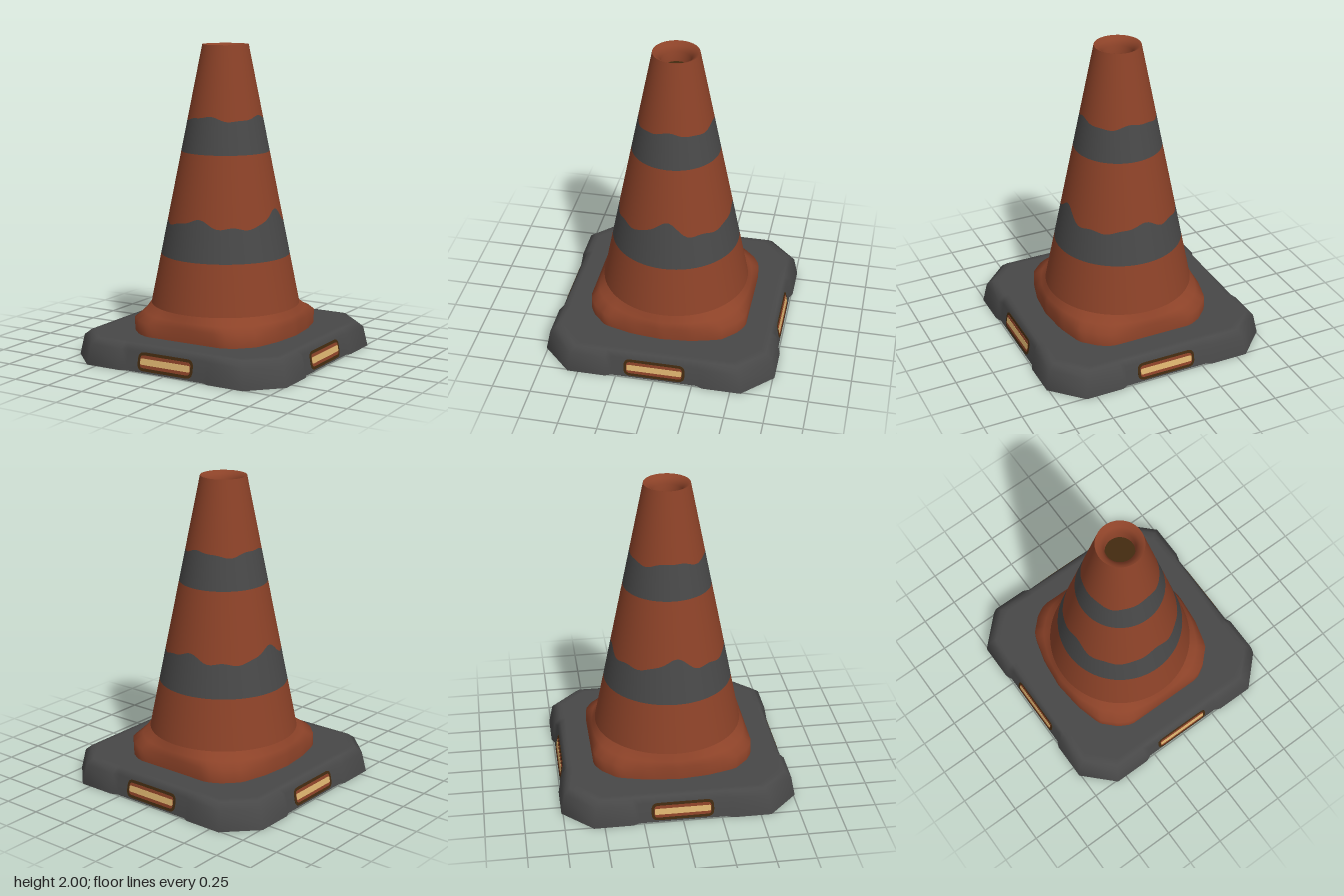
import * as THREE from 'three';

const mat = (name, color, side = THREE.FrontSide) => {
  const m = new THREE.MeshStandardMaterial({ color, side });
  m.name = name;
  return m;
};

// Skin closed rings of points, listed from bottom to top (or outside to inside)
function loft(rings, capEnd = false) {
  const n = rings[0].length, pos = rings.flat(2), idx = [];
  for (let i = 0; i < rings.length - 1; i++) {
    for (let j = 0; j < n; j++) {
      const k = (j + 1) % n, a = i * n + j, b = i * n + k;
      idx.push(a, b, a + n, b, b + n, a + n);
    }
  }
  if (capEnd) {
    const o = (rings.length - 1) * n;
    pos.push(0, rings[rings.length - 1][0][1], 0);
    for (let j = 0; j < n; j++) idx.push(o + j, o + (j + 1) % n, rings.length * n);
  }
  const g = new THREE.BufferGeometry();
  g.setAttribute('position', new THREE.Float32BufferAttribute(pos, 3));
  g.setIndex(idx);
  g.computeVertexNormals();
  return g;
}

const SEG = 96;
const angles = Array.from({ length: SEG }, (_, i) => (i / SEG) * Math.PI * 2);
const coneRadius = (y) => 0.148 + 0.2 * (2 - y);

// Ring whose height and radius may vary with the angle (0 = front, 90 degrees = +x)
const ring = (yOf, rOf) => angles.map((t) => {
  const y = yOf(t), r = rOf(t, y);
  return [r * Math.sin(t), y, r * Math.cos(t)];
});
const coneRing = (yOf) => ring(yOf, (t, y) => coneRadius(y));

// Softened octagon at the foot of the cone: quarter outline as [x, z]
const FOOT = [[0.525, 0], [0.505, 0.2], [0.455, 0.385], [0.36, 0.48], [0.28, 0.522], [0, 0.522]];
function footRadius(t) {
  const dx = Math.abs(Math.sin(t)), dz = Math.abs(Math.cos(t));
  let best = Infinity;
  for (let i = 0; i < FOOT.length - 1; i++) {
    const [px, pz] = FOOT[i], [qx, qz] = FOOT[i + 1];
    const r = (px * qz - pz * qx) / (dx * (qz - pz) - dz * (qx - px));
    if (r > 0) best = Math.min(best, r);
  }
  return best;
}

// Uneven upper edges of the grey bands, peaking at the four sides
const peak = (t, centre, width) => {
  const d = Math.atan2(Math.sin(t - centre), Math.cos(t - centre));
  return Math.exp(-((d / width) ** 2));
};
const lowerEdge = (t) => 0.868 + 0.008 * Math.sin(t * 12)
  + [0.05, 0.1, 0.05, 0.08].reduce((s, h, i) => s + h * peak(t, (i * Math.PI) / 2, 0.27), 0);
const upperEdge = (t) => 1.54 + 0.014 * Math.cos(4 * t) + 0.005 * Math.sin(9 * t);

// Chamfered square ring with a shallow recess in the middle of each side
function baseRing(y, h, c, recess) {
  const side = [[-c, h], [-0.32, h], [-0.28, h - recess], [0.28, h - recess], [0.32, h], [c, h]];
  const pts = [];
  for (let k = 0; k < 4; k++) {
    for (const [x, z] of side) {
      const [u, v] = [[x, z], [z, -x], [-x, -z], [-z, x]][k];
      pts.push([u, y, v]);
    }
  }
  return pts;
}

// Thin rounded plate centred on its own origin
function plate(w, h, depth, r) {
  const x = w / 2, y = h / 2, s = new THREE.Shape();
  s.moveTo(-x + r, -y);
  s.lineTo(x - r, -y);
  s.quadraticCurveTo(x, -y, x, -y + r);
  s.lineTo(x, y - r);
  s.quadraticCurveTo(x, y, x - r, y);
  s.lineTo(-x + r, y);
  s.quadraticCurveTo(-x, y, -x, y - r);
  s.lineTo(-x, -y + r);
  s.quadraticCurveTo(-x, -y, -x + r, -y);
  return new THREE.ExtrudeGeometry(s, { depth, bevelEnabled: false, curveSegments: 6 })
    .translate(0, 0, -depth / 2);
}

export function createModel() {
  const model = new THREE.Group();
  model.name = 'trafficCone';
  const orange = mat('burnt orange', 0x8c4228);
  const grey = mat('dark grey', 0x484848, THREE.DoubleSide);
  const brown = mat('dark brown', 0x432b10);
  const tan = mat('pale amber', 0xdcb36e);
  const add = (parent, name, geometry, material) => {
    const m = new THREE.Mesh(geometry, material);
    m.name = name;
    parent.add(m);
    return m;
  };

  // Hollow base shell
  add(model, 'base', loft([
    baseRing(0, 0.76, 0.568, 0.018),
    baseRing(0.02, 0.756, 0.566, 0.018),
    baseRing(0.13, 0.735, 0.552, 0.018),
    baseRing(0.165, 0.695, 0.53, 0),
    baseRing(0.165, 0.66, 0.5, 0),
    baseRing(0.165, 0.42, 0.34, 0),
  ], true), grey);

  // Flared foot blending from the octagon into the round cone
  const footRings = [[0.16, 1], [0.25, 1], [0.285, 0.4], [0.33, 0]].map(([y, k]) =>
    ring(() => y, (t) => THREE.MathUtils.lerp(coneRadius(y), footRadius(t), k)));
  add(model, 'coneFoot', loft(footRings), orange);
  const under = new THREE.Shape(footRings[0].map(([x, , z]) => new THREE.Vector2(x, z)));
  add(model, 'footUnderside', new THREE.ShapeGeometry(under).rotateX(Math.PI / 2), orange)
    .position.y = 0.15;

  // Cone body in alternating colours
  const edges = [() => 0.33, () => 0.655, lowerEdge, () => 1.32, upperEdge, () => 2];
  const names = ['lowerCone', 'lowerBand', 'middleCone', 'upperBand', 'upperCone'];
  names.forEach((name, i) => add(model, name,
    loft([coneRing(edges[i]), coneRing(edges[i + 1])]), i % 2 ? grey : orange));

  // Funnel-shaped rim and the hole in the top
  const lip = [[2, 0.148], [1.995, 0.135], [1.98, 0.115], [1.95, 0.095], [1.88, 0.09]];
  add(model, 'topRim', loft(lip.map(([y, r]) => ring(() => y, () => r))), orange);
  add(model, 'holeFloor', new THREE.CircleGeometry(0.092, 32).rotateX(-Math.PI / 2), brown)
    .position.y = 1.885;

  // Reflector on each side, showing through on the inside of the shell
  const frame = plate(0.4, 0.118, 0.004, 0.045);
  const surround = plate(0.365, 0.08, 0.007, 0.025);
  const strip = plate(0.36, 0.04, 0.0095, 0.01);
  for (let i = 0; i < 4; i++) {
    const turn = new THREE.Group(), reflector = new THREE.Group();
    turn.name = 'reflectorSide';
    reflector.name = 'reflector';
    turn.rotation.y = (i * Math.PI) / 2;
    reflector.position.set(0, 0.069, 0.7288);
    reflector.rotation.x = -Math.atan2(0.025, 0.13);
    add(reflector, 'reflectorFrame', frame, brown);
    add(reflector, 'reflectorSurround', surround, orange);
    add(reflector, 'reflectorStrip', strip, tan);
    turn.add(reflector);
    model.add(turn);
  }
  return model;
}
